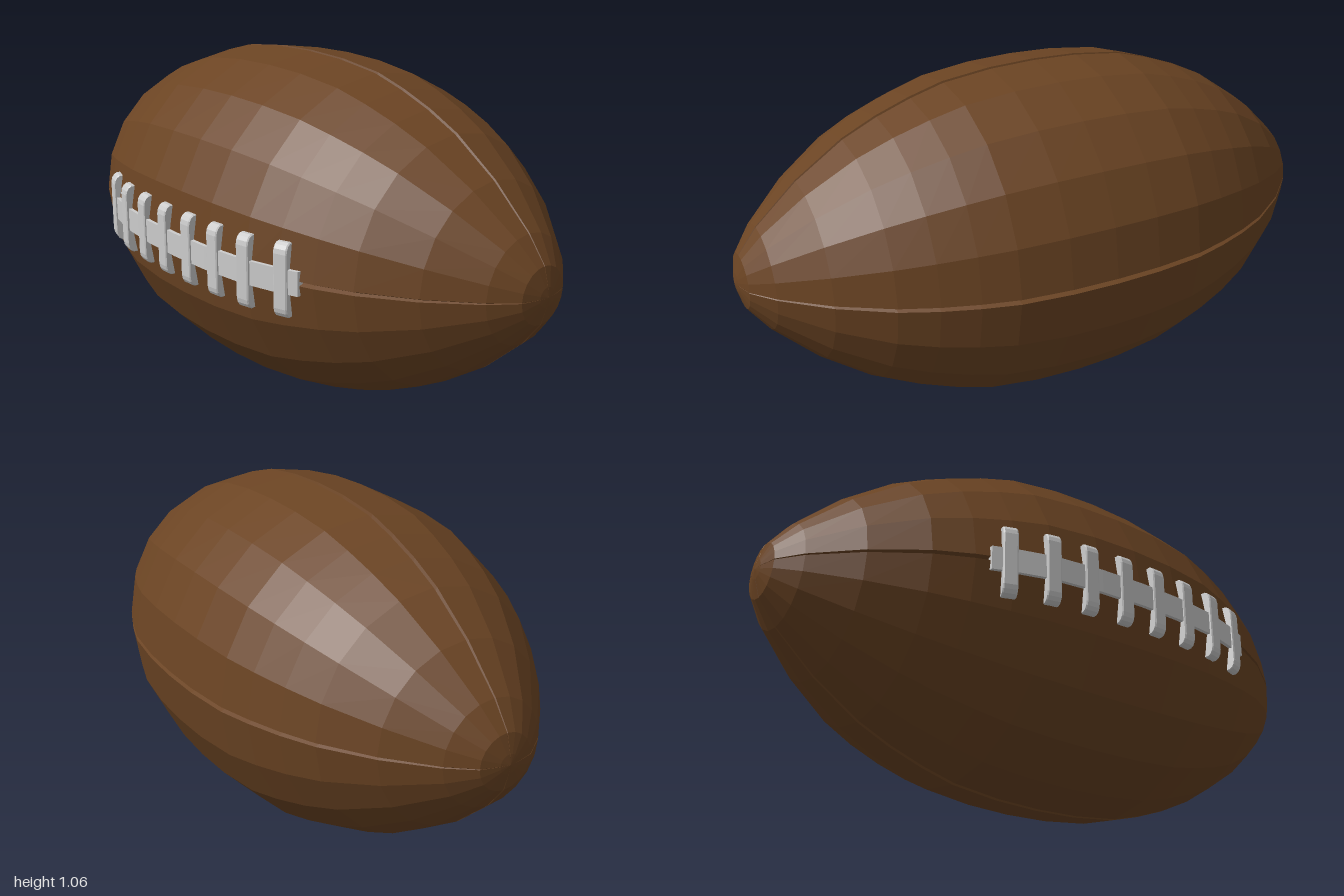
import * as THREE from 'three';

const CY = 0.533, CZ = -0.005;
// half profile of the ball: distance from the middle, radius
const HALF = [[0.15, 0.527], [0.31, 0.508], [0.42, 0.477], [0.53, 0.437], [0.64, 0.385],
  [0.79, 0.283], [0.92, 0.163], [0.979, 0.086], [0.995, 0.03], [1, 0]];
const PROFILE = [...HALF.map(([x, r]) => [-x, r]).reverse(), [0, 0.532], ...HALF];

// radius of the ball at x
function radiusAt(x) {
  const i = Math.max(1, PROFILE.findIndex(p => p[0] >= x));
  const [a, b] = [PROFILE[i - 1], PROFILE[i]];
  return THREE.MathUtils.lerp(a[1], b[1], (x - a[0]) / (b[0] - a[0]));
}

// twenty-sided ball with a V groove along each of the four seams
function ballGeometry() {
  const spokes = [];
  for (let i = 0; i < 20; i++) {
    const a = i * Math.PI / 10;
    if (i % 5) spokes.push([a, 1]);
    else spokes.push([a - 0.015, 1], [a, 0.965], [a + 0.015, 1]);
  }
  const n = spokes.length, pos = [], index = [];
  for (const [x, r] of PROFILE) {
    for (const [a, k] of spokes) pos.push(x, r * k * Math.cos(a), r * k * Math.sin(a));
  }
  for (let i = 0; i < PROFILE.length - 1; i++) {
    for (let j = 0; j < n; j++) {
      const a = i * n + j, b = i * n + (j + 1) % n, c = a + n, d = b + n;
      if (PROFILE[i][1] > 0) index.push(a, b, c);
      if (PROFILE[i + 1][1] > 0) index.push(b, d, c);
    }
  }
  const g = new THREE.BufferGeometry();
  g.setAttribute('position', new THREE.Float32BufferAttribute(pos, 3));
  g.setIndex(index);
  const flat = g.toNonIndexed();
  flat.computeVertexNormals();
  return flat;
}

// long strip following the front seam
function stripGeometry() {
  const xs = [-0.49, -0.42, -0.31, -0.15, 0, 0.15, 0.31, 0.42, 0.49];
  const outer = xs.map(x => new THREE.Vector2(x, radiusAt(x) + 0.007));
  const inner = xs.map(x => new THREE.Vector2(x, radiusAt(x) - 0.02)).reverse();
  const g = new THREE.ExtrudeGeometry(new THREE.Shape([...outer, ...inner]),
    { depth: 0.074, bevelEnabled: false });
  g.rotateX(Math.PI / 2);
  return g.translate(0, 0.037, 0);
}

// cross lace: a bracket with rounded corners and a hollow back
function laceGeometry() {
  const half = [[0.014, 0.082], [0.011, 0.096], [0.004, 0.107], [-0.006, 0.113],
    [-0.022, 0.113], [-0.016, 0.08], [-0.012, 0.04]];
  const pts = [...half, ...half.map(([u, y]) => [u, -y]).reverse()];
  const shape = new THREE.Shape(pts.map(([u, y]) => new THREE.Vector2(-u, y)));
  const g = new THREE.ExtrudeGeometry(shape, {
    depth: 0.037, bevelEnabled: true, bevelSize: 0.003, bevelThickness: 0.004,
    bevelOffset: -0.003, bevelSegments: 1,
  });
  g.translate(0, 0, -0.0185);
  return g.rotateY(Math.PI / 2);
}

export function createModel() {
  const model = new THREE.Group();
  model.name = 'ball';
  const leather = new THREE.MeshStandardMaterial({ color: 0x6b4423, flatShading: true });
  const grey = new THREE.MeshStandardMaterial({ color: 0xcccccc, flatShading: true });
  const add = (name, geometry, material) => {
    const mesh = new THREE.Mesh(geometry, material);
    mesh.name = name;
    mesh.position.set(0, CY, CZ);
    model.add(mesh);
    return mesh;
  };

  add('leatherBody', ballGeometry(), leather);
  add('laceStrip', stripGeometry(), grey);

  // eight cross laces, each tilted to the surface
  const lace = laceGeometry();
  for (let i = 0; i < 8; i++) {
    const x = (i - 3.5) * 0.125;
    const slope = (radiusAt(x + 0.06) - radiusAt(x - 0.06)) / 0.12;
    const mesh = add('crossLace', lace, grey);
    mesh.position.x = x;
    mesh.position.z += radiusAt(x);
    mesh.rotation.y = -Math.atan(slope);
  }
  return model;
}
